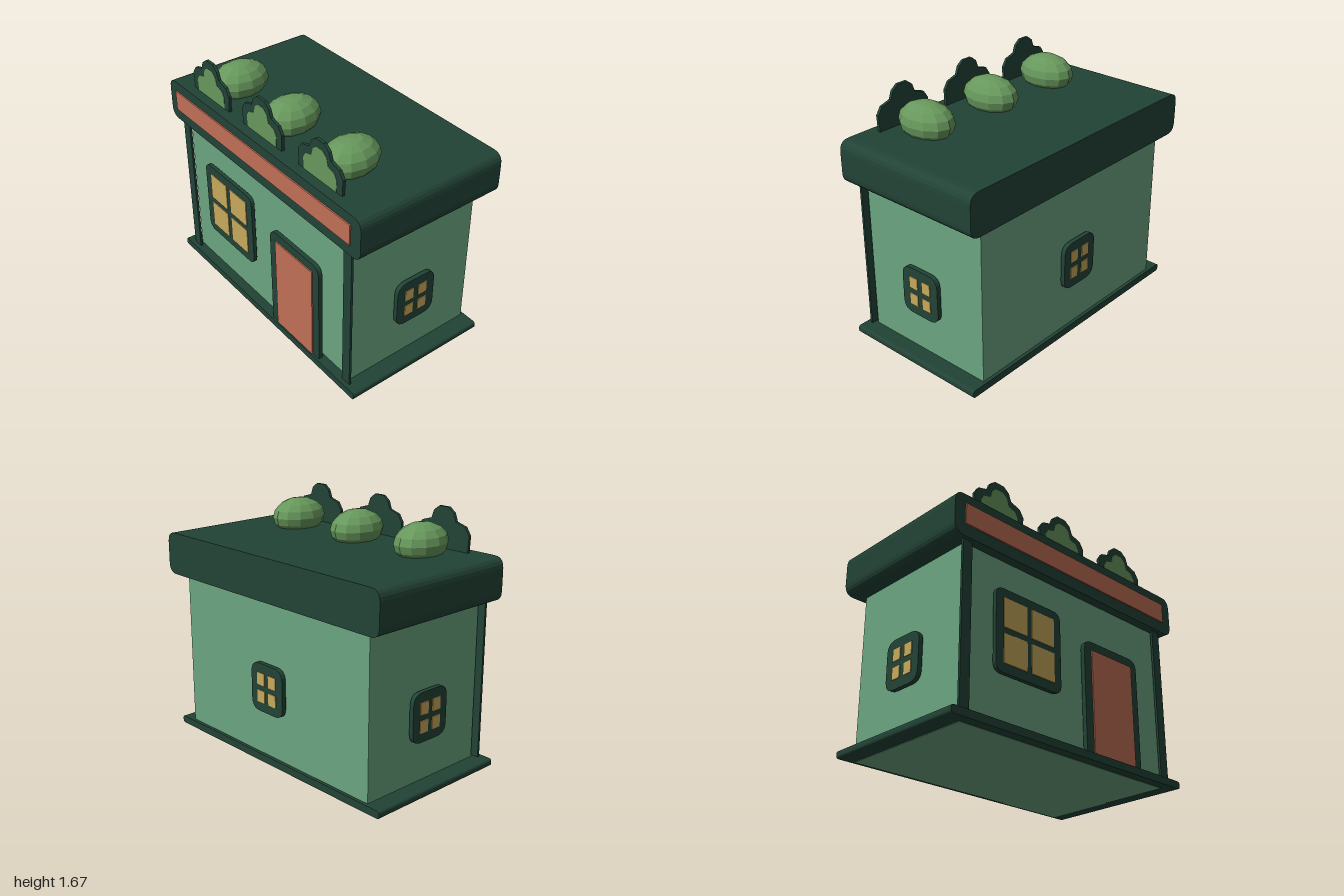
import * as THREE from 'three';

const mat = (name, color) => {
  const m = new THREE.MeshStandardMaterial({ color });
  m.name = name;
  return m;
};

// Rectangle with separate top and bottom corner radii, centred on x, y
function roundedRect(w, h, rTop, rBottom = rTop) {
  const s = new THREE.Shape(), x = w / 2, y = h / 2;
  s.moveTo(-x + rBottom, -y);
  s.lineTo(x - rBottom, -y);
  if (rBottom) s.quadraticCurveTo(x, -y, x, -y + rBottom);
  s.lineTo(x, y - rTop);
  if (rTop) s.quadraticCurveTo(x, y, x - rTop, y);
  s.lineTo(-x + rTop, y);
  if (rTop) s.quadraticCurveTo(-x, y, -x, y - rTop);
  s.lineTo(-x, -y + rBottom);
  if (rBottom) s.quadraticCurveTo(-x, -y, -x + rBottom, -y);
  return s;
}

const extrude = (shape, depth) =>
  new THREE.ExtrudeGeometry(shape, { depth, bevelEnabled: false, curveSegments: 5 });

export function createModel() {
  const model = new THREE.Group();
  model.name = 'shop';
  const dark = mat('dark green trim', 0x224336);
  const wall = mat('wall green', 0x6ba580);
  const coral = mat('coral', 0xc06f56);
  const yellow = mat('window yellow', 0xc8a95c);
  const leaf = mat('leaf green', 0x67985c);

  const add = (parent, name, geometry, material, x = 0, y = 0, z = 0) => {
    const mesh = new THREE.Mesh(geometry, material);
    mesh.name = name;
    mesh.position.set(x, y, z);
    parent.add(mesh);
    return mesh;
  };
  // Box given by its limits on each axis
  const box = (parent, name, material, [x0, x1], [y0, y1], [z0, z1]) =>
    add(parent, name, new THREE.BoxGeometry(x1 - x0, y1 - y0, z1 - z0), material,
      (x0 + x1) / 2, (y0 + y1) / 2, (z0 + z1) / 2);

  // Main volumes
  box(model, 'walls', wall, [-0.872, 0.862], [0, 1.2], [-0.485, 0.473]);
  add(model, 'base', extrude(roundedRect(1.965, 0.051, 0.02), 1.047), dark, -0.006, 0.0285, -0.508);
  add(model, 'roof', extrude(roundedRect(2, 0.285, 0.07), 1.078), dark, 0, 1.2625, -0.543);
  box(model, 'signBoard', coral, [-0.92, 0.915], [1.2, 1.34], [0.536, 0.545]);

  // Corner posts
  box(model, 'rightPost', dark, [-0.91, -0.838], [0.05, 1.13], [0.494, 0.51]);
  box(model, 'leftPost', dark, [0.825, 0.896], [0.05, 1.13], [0.494, 0.51]);

  // Door
  add(model, 'doorFrame', extrude(roundedRect(0.505, 0.755, 0.07, 0), 0.03), dark, 0.353, 0.4275, 0.493);
  box(model, 'door', coral, [0.165, 0.545], [0.05, 0.745], [0.522, 0.531]);

  // Four-pane window facing +z, its back on z = 0
  function makeWindow(name, w, h, r, depth, paneW, paneH, gap) {
    const g = new THREE.Group();
    g.name = name;
    add(g, 'windowFrame', extrude(roundedRect(w, h, r), depth), dark);
    for (const sx of [-1, 1]) for (const sy of [-1, 1])
      add(g, 'windowPane', new THREE.BoxGeometry(paneW, paneH, 0.008), yellow,
        sx * (paneW + gap) / 2, sy * (paneH + gap) / 2, depth + 0.001);
    model.add(g);
    return g;
  }
  makeWindow('frontWindow', 0.54, 0.545, 0.06, 0.026, 0.19, 0.193, 0.037)
    .position.set(-0.381, 0.6325, 0.491);
  const small = name => makeWindow(name, 0.3, 0.328, 0.075, 0.03, 0.07, 0.082, 0.037);
  const right = small('rightWindow');
  right.position.set(-0.888, 0.5, -0.004);
  right.rotation.y = -Math.PI / 2;
  const left = small('leftWindow');
  left.position.set(0.876, 0.5, -0.004);
  left.rotation.y = Math.PI / 2;
  const back = small('backWindow');
  back.position.set(-0.005, 0.538, -0.499);
  back.rotation.y = Math.PI;

  // Mirrored outline of a three-lobed shrub
  const shrub = half => new THREE.Shape([...half, ...half.slice().reverse().map(([x, y]) => [-x, y])]
    .map(([x, y]) => new THREE.Vector2(x, y)));
  const outer = extrude(shrub([[0.202, 0], [0.208, 0.11], [0.175, 0.16], [0.1, 0.182],
    [0.08, 0.235], [0.038, 0.267]]), 0.02);
  const inner = extrude(shrub([[0.15, 0], [0.155, 0.08], [0.132, 0.118], [0.076, 0.135],
    [0.062, 0.187], [0.028, 0.214]]), 0.003);

  // Roof shrubs: cut-out plate in front, faceted bush behind
  const ball = new THREE.SphereGeometry(1, 12, 8).toNonIndexed();
  ball.scale(0.15, 0.127, 0.2);
  ball.computeVertexNormals();
  for (const x of [-0.586, -0.023, 0.551]) {
    add(model, 'shrubPlate', outer, dark, x, 1.403, 0.448);
    add(model, 'shrubFace', inner, leaf, x, 1.404, 0.467);
    add(model, 'bush', ball, leaf, x, 1.475, 0.245);
  }
  return model;
}
